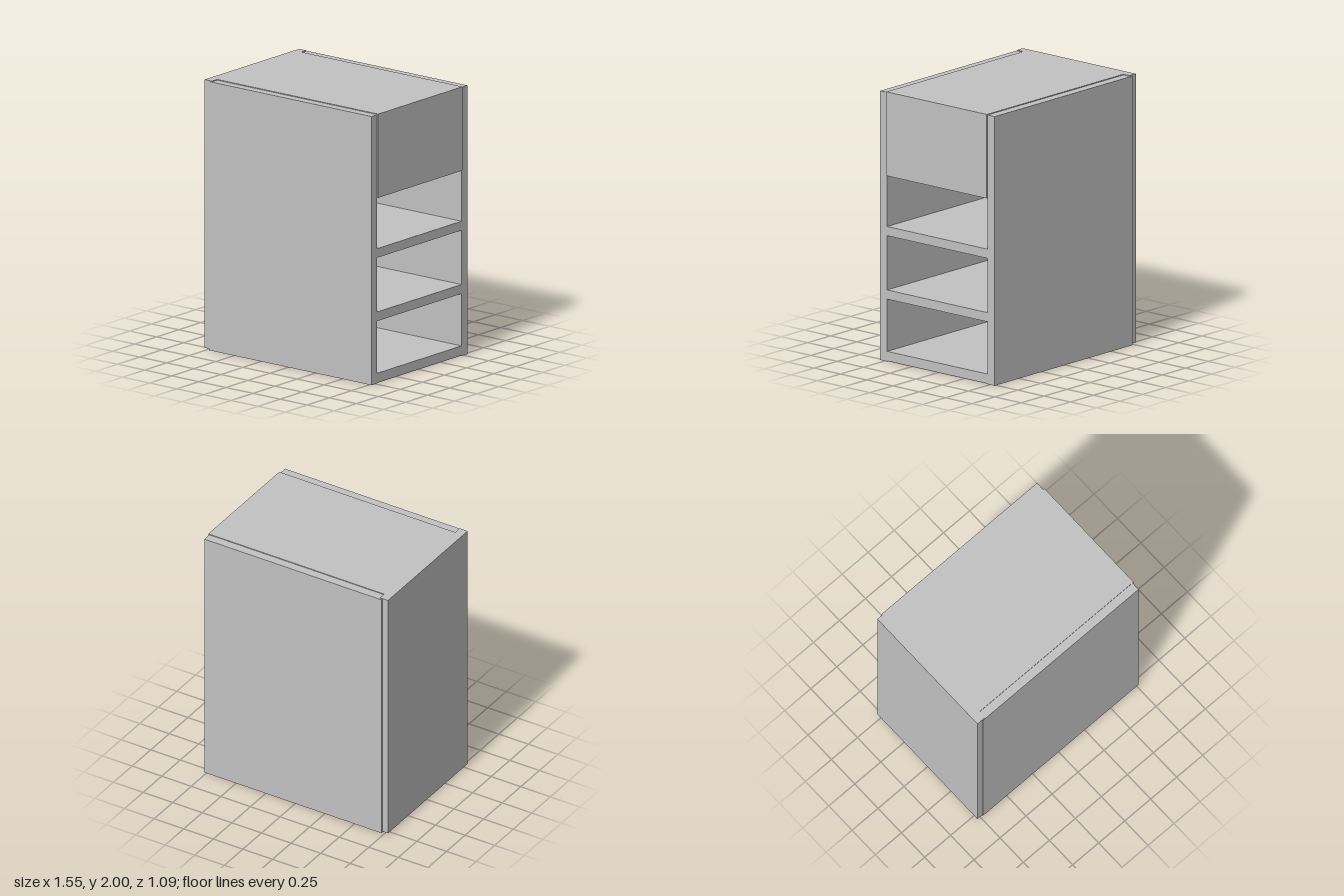
import * as THREE from 'three';

export function createModel() {
  const group = new THREE.Group();
  const grey = new THREE.MeshStandardMaterial({ color: 0xc2c2c2 });
  grey.name = 'cabinet grey';

  // Box given by its lower and upper corner
  const panel = (name, [x0, y0, z0], [x1, y1, z1]) => {
    const mesh = new THREE.Mesh(new THREE.BoxGeometry(x1 - x0, y1 - y0, z1 - z0), grey);
    mesh.position.set((x0 + x1) / 2, (y0 + y1) / 2, (z0 + z1) / 2);
    mesh.name = name;
    group.add(mesh);
  };

  const inner = 0.478, open = 0.768, rear = -0.71;

  // Long side panels, slightly lower than the top
  panel('frontSidePanel', [-0.73, 0, inner], [open, 1.994, 0.543]);
  panel('rearSidePanel', [-0.73, 0, -0.545], [open, 1.994, -inner]);

  // Closed end, standing just inside the side panels' outer faces
  panel('endPanel', [-0.777, 0.01, -0.535], [rear, 2, 0.538]);

  // Bottom and shelves, flush with the side panels at the open end
  const shelves = [[0.004, 0.075], [0.462, 0.53], [0.932, 1.0]];
  shelves.forEach(([y0, y1], i) =>
    panel(i ? 'shelf' + i : 'bottomPanel', [rear, y0, -inner], [open, y1, inner]));

  // Closed top compartment, standing slightly proud of the open end
  panel('topCompartment', [rear, 1.378, -inner], [0.777, 2, inner]);

  return group;
}
